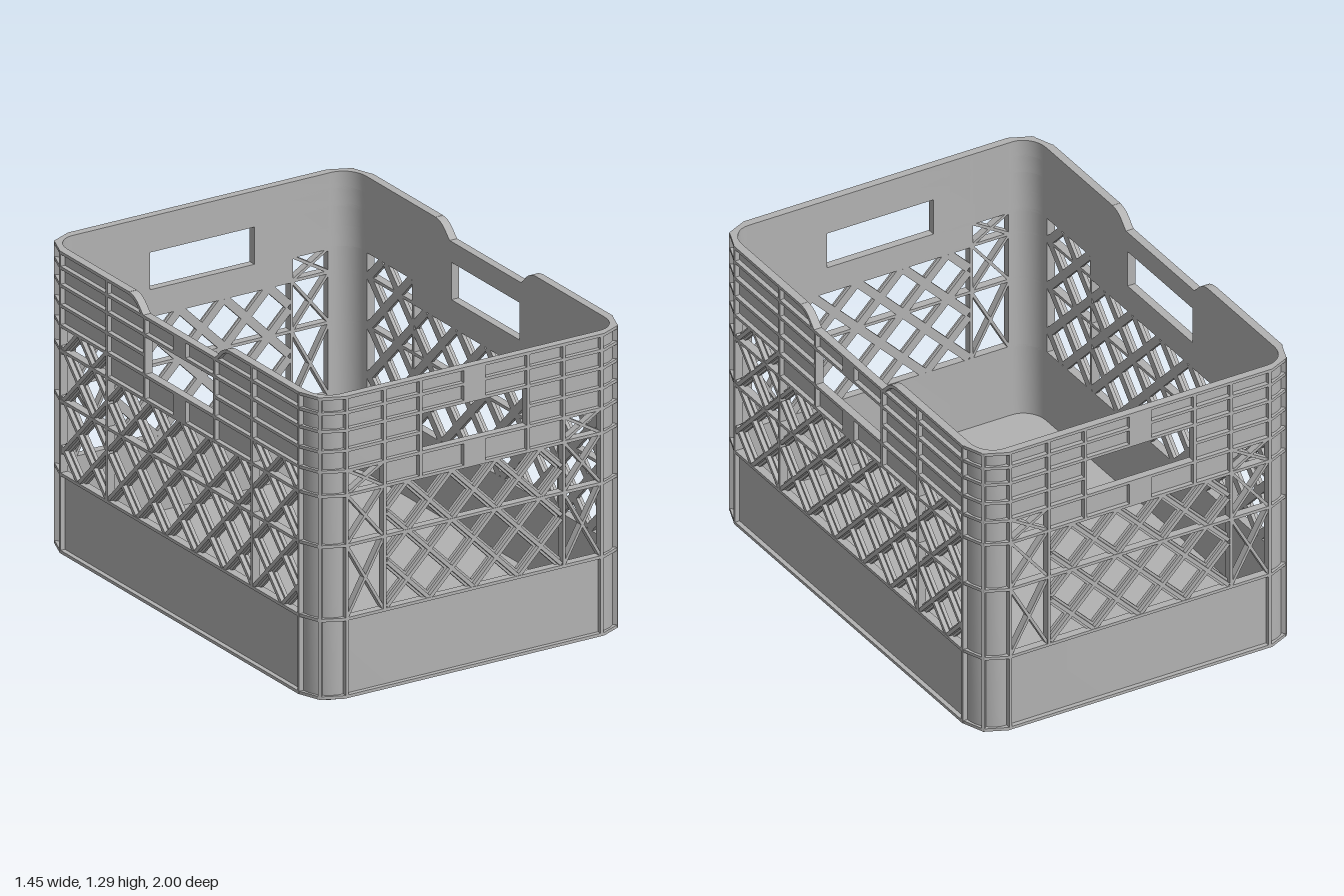
import * as THREE from 'three';
import { mergeGeometries, toCreasedNormals } from 'three/addons/utils/BufferGeometryUtils.js';

const HX = 0.727, HZ = 1.0;        // half width and half length over the ribs
const CX = 0.6, CZ = 0.86;         // centre of each rounded corner
const DEPTH = 0.035, SKIN = 0.02;  // inner face and outer skin, measured in from the ribs
const RIB = 0.013, TOP = 1.29;
const GRIP = 0.245, GRIP_LOW = 0.975, GRIP_HIGH = 1.145;

const grey = new THREE.MeshStandardMaterial({ color: 0xb2b2b2 });
grey.name = 'grey plastic';

// points round one corner at a given inset, from the end wall to the side wall
function cornerArc(inset, segments) {
  const pts = [];
  for (let i = 0; i <= segments; i++) {
    const a = (i / segments) * Math.PI / 2;
    pts.push([CX + (HX - CX - inset) * Math.sin(a), CZ + (HZ - CZ - inset) * Math.cos(a)]);
  }
  return pts;
}

function extrudeUp(points, y0, y1) {
  const shape = new THREE.Shape(points.map(([x, z]) => new THREE.Vector2(x, -z)));
  const geo = new THREE.ExtrudeGeometry(shape, { depth: y1 - y0, bevelEnabled: false });
  geo.rotateX(-Math.PI / 2).translate(0, y0, 0);
  return toCreasedNormals(geo, 0.5);
}

// four corner bands, each running from gapX on the end walls to gapZ on the side walls
function band(y0, y1, gapX, gapZ, inset, segments) {
  const outline = [
    [gapX, HZ - inset], ...cornerArc(inset, segments), [HX - inset, gapZ],
    [HX - DEPTH, gapZ], ...cornerArc(DEPTH, 8).reverse(), [gapX, HZ - DEPTH],
  ];
  const parts = [];
  for (const sx of [-1, 1]) for (const sz of [-1, 1])
    parts.push(extrudeUp(outline.map(([x, z]) => [x * sx, z * sz]), y0, y1));
  return mergeGeometries(parts);
}
const skin = (y0, y1, gapX, gapZ) => band(y0, y1, gapX, gapZ, SKIN, 8);
const collar = (y, gapX = 0, gapZ = 0) => band(y - RIB / 2, y + RIB / 2, gapX, gapZ, 0, 2);

// wall pieces: u along the wall, y up, z = 0 at the outer face of the ribs
function plate(u0, u1, y0, y1, outer = 0) {
  const d = DEPTH - outer;
  return new THREE.BoxGeometry(u1 - u0, y1 - y0, d)
    .translate((u0 + u1) / 2, (y0 + y1) / 2, -outer - d / 2).toNonIndexed();
}
const post = (u, y0, y1) => plate(u - RIB / 2, u + RIB / 2, y0, y1);

function bar(u0, y0, u1, y1, width, outer) {
  const d = DEPTH - outer, len = Math.hypot(u1 - u0, y1 - y0);
  return new THREE.BoxGeometry(len, width, d)
    .rotateZ(Math.atan2(y1 - y0, u1 - u0))
    .translate((u0 + u1) / 2, (y0 + y1) / 2, -outer - d / 2).toNonIndexed();
}

// diagonal lattice clipped to a rectangle; bars cross at (0, nodeY)
function lattice(u0, u1, y0, y1, pitch, nodeY) {
  const parts = [];
  for (const s of [-1, 1]) for (let k = -12; k <= 12; k++) {
    const c = k * pitch - s * nodeY;               // u = s * y + c
    const a = s * (u0 - c), b = s * (u1 - c);
    const low = Math.max(y0, Math.min(a, b)) + 0.006;
    const high = Math.min(y1, Math.max(a, b)) - 0.006;
    if (high - low < 0.015) continue;
    parts.push(bar(s * low + c, low, s * high + c, high, 0.036, SKIN));
    parts.push(bar(s * low + c, low, s * high + c, high, 0.016, 0.002));
  }
  return parts;
}

// thin X brace filling a rectangular opening
const cross = (u0, u1, y0, y1) => [bar(u0, y0, u1, y1, 0.012, 0.004), bar(u0, y1, u1, y0, 0.012, 0.004)];

// curved shoulders where the side rim drops over the grip
function shoulder(s, thickness, outer) {
  const shape = new THREE.Shape();
  shape.moveTo(s * 0.25, 1.22);
  shape.bezierCurveTo(s * 0.29, 1.25, s * 0.30, TOP, s * 0.37, TOP);
  if (thickness) {
    shape.lineTo(s * 0.37, TOP - thickness);
    shape.bezierCurveTo(s * 0.31, TOP - thickness, s * 0.30, 1.24, s * 0.265, 1.215);
  } else shape.lineTo(s * 0.37, 1.22);
  shape.closePath();
  const geo = new THREE.ExtrudeGeometry(shape, { depth: DEPTH - outer, bevelEnabled: false, curveSegments: 8 });
  return toCreasedNormals(geo.translate(0, 0, -DEPTH), 0.5);
}

export function createModel() {
  const model = new THREE.Group();
  model.name = 'crate';
  const add = (name, geo, parent = model) => {
    const mesh = new THREE.Mesh(geo, grey);
    mesh.name = name;
    parent.add(mesh);
    return mesh;
  };

  // floor with a slightly inset foot
  const slab = (inset, y0, y1) => {
    const a = cornerArc(inset, 6), b = [...a].reverse();
    return extrudeUp([
      ...a, ...b.map(([x, z]) => [x, -z]),
      ...a.map(([x, z]) => [-x, -z]), ...b.map(([x, z]) => [-x, z]),
    ], y0, y1);
  };
  add('foot', slab(0.048, 0, 0.02));
  add('floor', slab(0.03, 0.018, 0.04));

  // solid skins
  add('lowerBand', skin(0.02, 0.35, 0, 0));
  add('cornerColumns', skin(0.35, GRIP_LOW, 0.59, CZ));
  add('gripBand', skin(GRIP_LOW, GRIP_HIGH, GRIP, 0.25));
  add('upperBand', skin(GRIP_HIGH, 1.22, 0, 0));
  add('rimBand', skin(1.22, TOP, 0, 0.36));

  // horizontal ribs all round
  for (const y of [0.0235, 0.35, 0.66, 0.872, GRIP_LOW, GRIP_HIGH, 1.22]) add('collar', collar(y));
  add('gripCollar', collar(1.06, GRIP, 0.25));
  add('rim', collar(TOP - RIB / 2, 0, 0.36));

  // upright rib on each corner
  for (const sx of [-1, 1]) for (const sz of [-1, 1]) {
    const rib = add('cornerRib', new THREE.BoxGeometry(RIB, TOP - 0.02, 0.026));
    rib.position.set(sx * 0.681, (TOP + 0.02) / 2, sz * 0.949);
    rib.rotation.y = sx * sz * Math.PI / 4 + (sz < 0 ? Math.PI : 0);
  }

  // end wall: grip surround, central lattice and braced strips
  const endRibs = [
    plate(-0.41, 0.41, 0.872, GRIP_LOW, SKIN),
    plate(-0.05, 0.05, 0.872, GRIP_LOW),
    plate(-0.05, 0.05, GRIP_HIGH, TOP),
  ];
  const endLattice = lattice(-0.41, 0.41, 0.35, 0.872, 0.206, 0.765);
  for (const s of [-1, 1]) {
    endRibs.push(post(s * 0.59, 0.02, TOP), post(s * 0.415, 0.35, TOP), post(s * (GRIP + 0.004), 0.872, TOP));
    const [u0, u1] = s > 0 ? [0.415, 0.59] : [-0.59, -0.415];
    for (const [y0, y1] of [[0.35, 0.66], [0.66, 0.872], [0.872, GRIP_LOW]])
      endLattice.push(...cross(u0, u1, y0, y1));
  }

  // side wall: grip surround, lowered rim and stepped lattice
  const sideRibs = [
    plate(-0.52, 0.52, 0.872, GRIP_LOW, SKIN),
    plate(-0.045, 0.045, 0.872, GRIP_LOW),
    plate(-0.045, 0.045, GRIP_HIGH, 1.225),
  ];
  const sideLattice = [
    ...lattice(-0.52, 0.52, 0.35, 0.872, 0.21, 0.665),
    ...lattice(0.52, CZ, 0.35, GRIP_LOW, 0.21, 0.665),
    ...lattice(-CZ, -0.52, 0.35, GRIP_LOW, 0.21, 0.665),
  ];
  for (const s of [-1, 1]) {
    sideRibs.push(post(s * CZ, 0.02, TOP), post(s * 0.523, 0.35, TOP), post(s * 0.252, 0.872, 1.225));
    sideRibs.push(shoulder(s, 0, SKIN), shoulder(s, RIB, 0));
  }

  const merge = (parts) => mergeGeometries(parts);
  const walls = [
    ['endWall', HZ, 0, merge(endRibs), merge(endLattice)],
    ['sideWall', HX, Math.PI / 2, merge(sideRibs), merge(sideLattice)],
  ];
  for (const [name, reach, turn, ribs, mesh] of walls) for (const flip of [0, Math.PI]) {
    const wall = new THREE.Group();
    wall.name = name;
    wall.rotation.y = turn + flip;
    wall.position.set(Math.sin(turn + flip) * reach, 0, Math.cos(turn + flip) * reach);
    add(name + 'Ribs', ribs, wall);
    add(name + 'Lattice', mesh, wall);
    model.add(wall);
  }
  return model;
}
